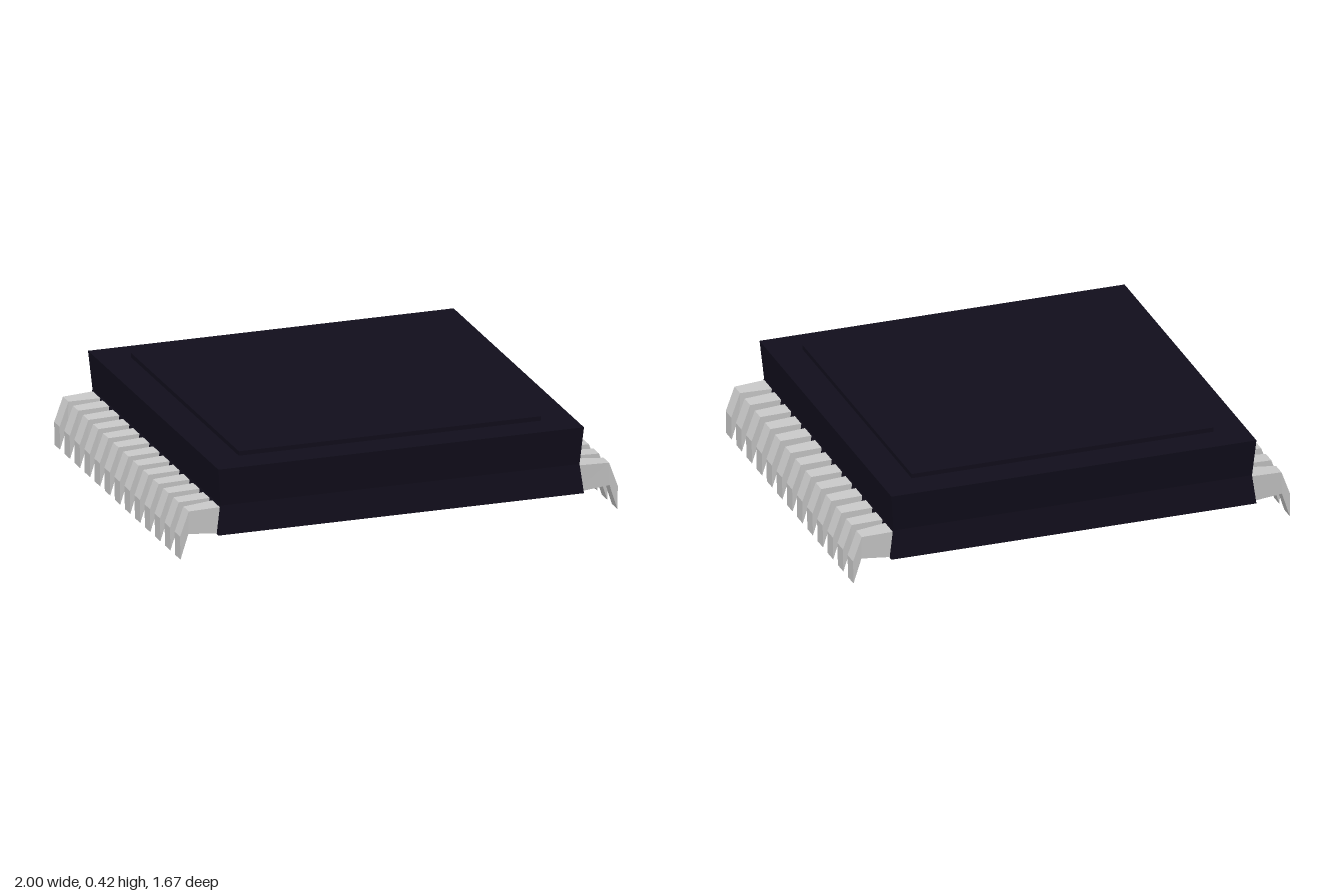
import * as THREE from 'three';

const PINS = 13, PITCH = 0.1285, PIN_WIDTH = 0.07;

// Square package with slightly pinched side walls
function bodyGeometry() {
  const geo = new THREE.BoxGeometry(1.67, 0.3, 1.67, 1, 2, 1).toNonIndexed();
  const p = geo.attributes.position;
  for (let i = 0; i < p.count; i++) {
    if (Math.abs(p.getY(i)) < 0.01) {
      p.setXYZ(i, Math.sign(p.getX(i)) * 0.82, -0.02, Math.sign(p.getZ(i)) * 0.82);
    }
  }
  geo.computeVertexNormals();
  return geo;
}

// Bent pin pointing to +x; its root flares by the given amounts on the -z and +z sides
function pinGeometry(flareBack, flareFront) {
  const profile = new THREE.Shape([
    [0.8, 0.1], [0.962, 0.113], [0.998, 0], [1, 0.105], [0.96, 0.215], [0.8, 0.222],
  ].map(([x, y]) => new THREE.Vector2(x, y)));
  const geo = new THREE.ExtrudeGeometry(profile, { depth: PIN_WIDTH, bevelEnabled: false });
  geo.translate(0, 0, -PIN_WIDTH / 2);
  const p = geo.attributes.position;
  for (let i = 0; i < p.count; i++) {
    if (p.getX(i) < 0.85) {
      const z = p.getZ(i);
      p.setZ(i, z < 0 ? z - flareBack : z + flareFront);
    }
  }
  geo.computeVertexNormals();
  return geo;
}

export function createModel() {
  const model = new THREE.Group();
  model.name = 'microchip';
  const dark = new THREE.MeshStandardMaterial({ color: 0x110e1c, flatShading: true });
  const metal = new THREE.MeshStandardMaterial({ color: 0xcccccc, flatShading: true });

  const body = new THREE.Mesh(bodyGeometry(), dark);
  body.name = 'body';
  body.position.y = 0.25;
  model.add(body);

  // Raised panel on top
  const lid = new THREE.Mesh(new THREE.BoxGeometry(1.38, 0.04, 1.38), dark);
  lid.name = 'lid';
  lid.position.y = 0.4;
  model.add(lid);

  // One row of pins per side; the end pins flare towards the middle of the row
  const middle = pinGeometry(0.007, 0.007);
  const first = pinGeometry(0.008, 0.022);
  const last = pinGeometry(0.022, 0.008);
  for (const side of ['left', 'right']) {
    const row = new THREE.Group();
    row.name = side + 'Pins';
    for (let i = 0; i < PINS; i++) {
      const geo = i === 0 ? first : i === PINS - 1 ? last : middle;
      const pin = new THREE.Mesh(geo, metal);
      pin.name = side + 'Pin' + (i + 1);
      pin.position.z = (i - (PINS - 1) / 2) * PITCH;
      row.add(pin);
    }
    if (side === 'right') row.rotation.y = Math.PI;
    model.add(row);
  }
  return model;
}
